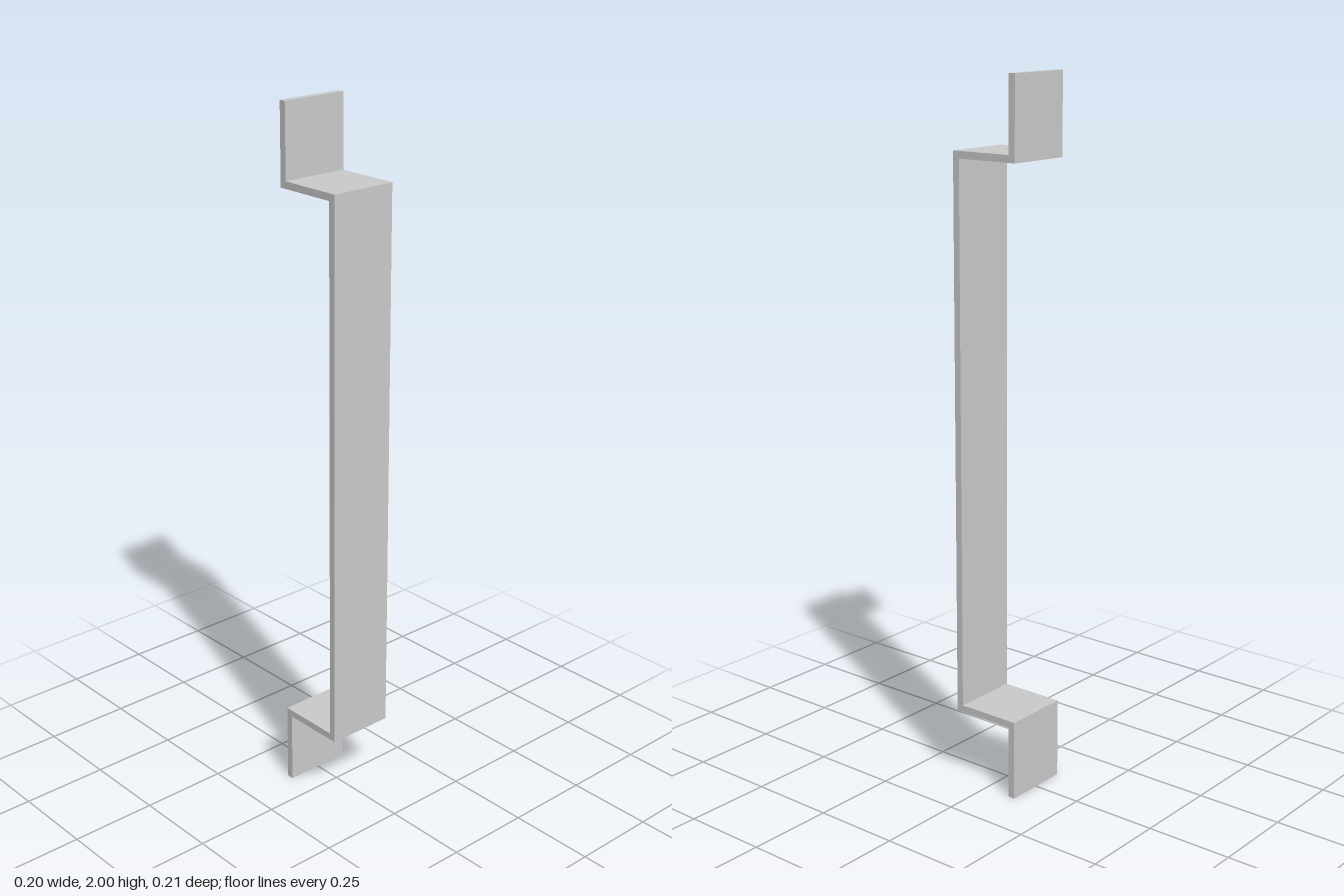
import * as THREE from 'three';

export function createModel() {
  const group = new THREE.Group();
  group.name = 'pullHandle';
  const width = 0.198, front = 0.104, t = 0.02;
  const lowY = 0.211, highY = 1.795; // outer faces of the two arms

  // Bent strip in side profile, as (z, y): flange, arm, grip, arm, flange
  const profile = [
    [-front, 0], [-front, lowY + t], [front - t, lowY + t],
    [front - t, highY - t], [-front, highY - t], [-front, 2],
    [-front + t, 2], [-front + t, highY], [front, highY],
    [front, lowY], [-front + t, lowY], [-front + t, 0],
  ];
  const shape = new THREE.Shape(profile.map(([z, y]) => new THREE.Vector2(-z, y)));

  // Extrude across the width, then turn the profile to face +z
  const geometry = new THREE.ExtrudeGeometry(shape, { depth: width, bevelEnabled: false });
  geometry.translate(0, 0, -width / 2);
  geometry.rotateY(Math.PI / 2);

  const strip = new THREE.Mesh(geometry, new THREE.MeshStandardMaterial({ color: 0xcccccc }));
  strip.name = 'bentStrip';
  group.add(strip);
  return group;
}
